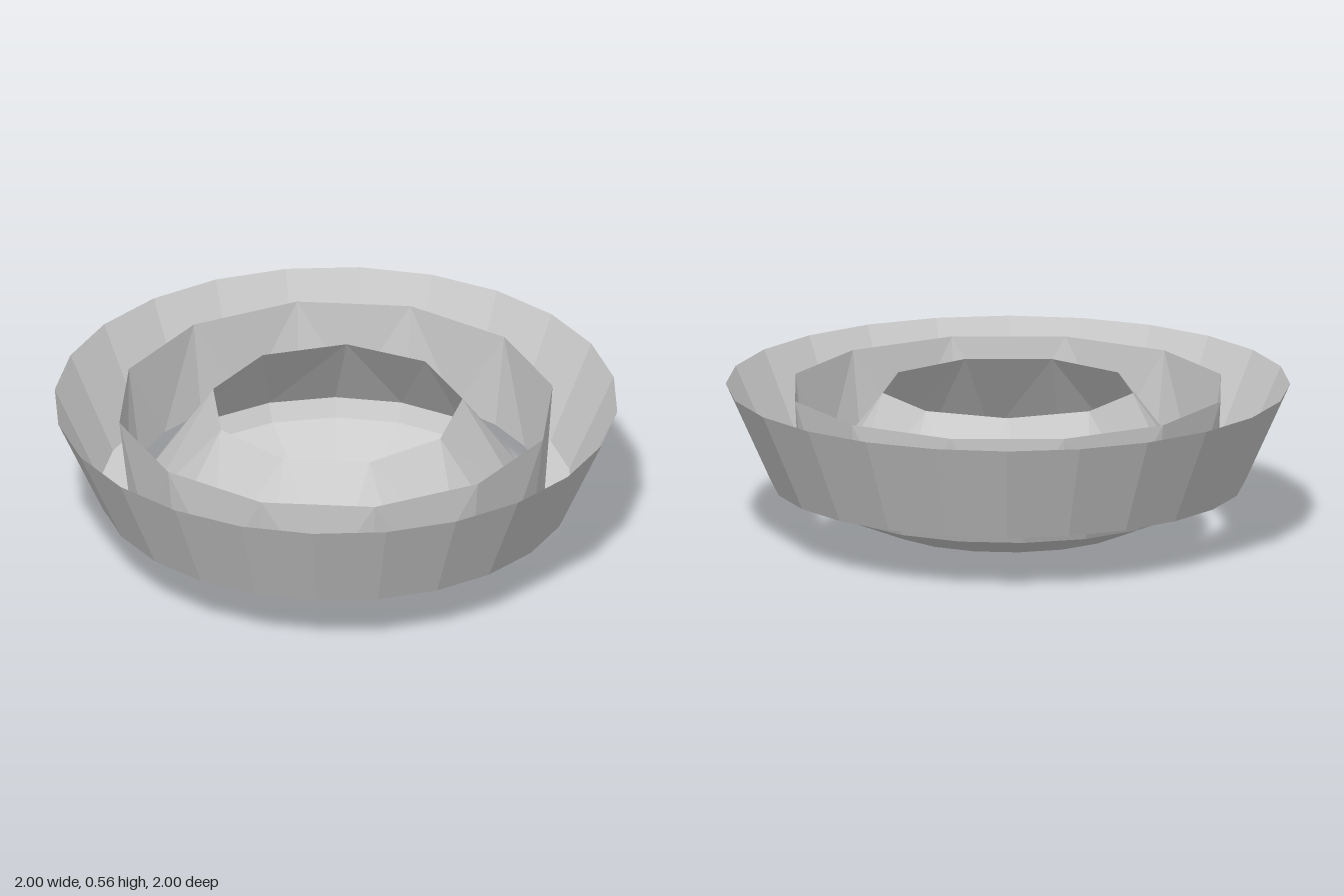
import * as THREE from 'three';

const material = new THREE.MeshStandardMaterial({
  color: 0xcccccc, flatShading: true, side: THREE.DoubleSide,
});

// Faceted surface of revolution with a corner on the +x axis
function turned(name, profile, sides) {
  const points = profile.map(([r, y]) => new THREE.Vector2(r, y));
  const mesh = new THREE.Mesh(new THREE.LatheGeometry(points, sides, Math.PI / 2), material);
  mesh.name = name;
  return mesh;
}

// Band joining a lower ring of 2n corners to an upper ring of n corners
function halvingBand(name, n, [lowR, lowY], [topR, topY], topTurn = 0) {
  const at = (r, y, angle) => [r * Math.cos(angle), y, r * Math.sin(angle)];
  const low = (i) => at(lowR, lowY, (i * Math.PI) / n);
  const top = (i) => at(topR, topY, (i * 2 * Math.PI) / n + topTurn);
  const positions = [];
  for (let k = 0; k < n; k++) {
    const a = 2 * k;
    positions.push(
      ...low(a + 1), ...low(a), ...top(k),
      ...low(a + 1), ...top(k), ...top(k + 1),
      ...low(a + 2), ...low(a + 1), ...top(k + 1),
    );
  }
  const geometry = new THREE.BufferGeometry();
  geometry.setAttribute('position', new THREE.Float32BufferAttribute(positions, 3));
  geometry.computeVertexNormals();
  const mesh = new THREE.Mesh(geometry, material);
  mesh.name = name;
  return mesh;
}

export function createModel() {
  const model = new THREE.Group();
  model.name = 'ringAndBowl';

  // Outer trough: sloping wall, flat floor and inner wall, open at the top
  const trough = new THREE.Group();
  trough.name = 'outerTrough';
  trough.add(
    turned('outerWallAndFloor', [[0.74, 0.2], [0.84, 0.2], [1, 0.555]], 24),
    halvingBand('innerWall', 12, [0.74, 0.2], [0.78, 0.54]),
  );

  // Central vessel: shallow pointed bowl under an open, tapering collar
  const vessel = new THREE.Group();
  vessel.name = 'centralVessel';
  vessel.add(
    turned('bowl', [[0, 0], [0.45, 0.05], [0.655, 0.135], [0.685, 0.2]], 18),
    halvingBand('collar', 9, [0.685, 0.2], [0.45, 0.54], THREE.MathUtils.degToRad(5)),
  );

  model.add(trough, vessel);
  return model;
}
